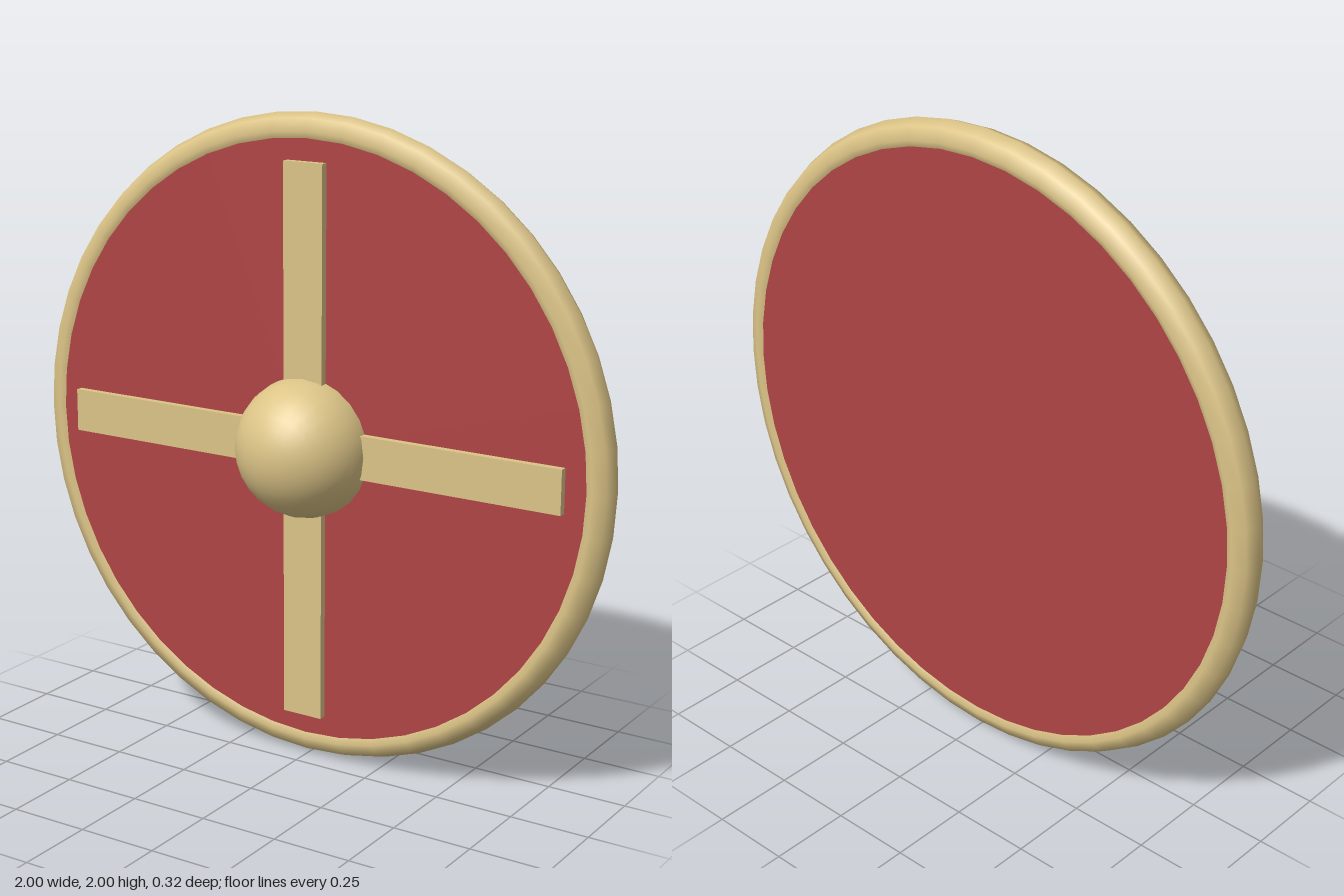
import * as THREE from 'three';

export function createModel() {
  const group = new THREE.Group();
  const red = new THREE.MeshStandardMaterial({ color: 0xb04444 });
  const brass = new THREE.MeshStandardMaterial({ color: 0xdcc487 });

  const add = (name, geometry, material, z) => {
    const mesh = new THREE.Mesh(geometry, material);
    mesh.name = name;
    mesh.position.set(0, 1, z);
    group.add(mesh);
    return mesh;
  };

  const midZ = -0.104;   // centre plane of the shield
  const faceZ = -0.058;  // front face of the board
  const tube = 0.054;

  // Round board
  const board = new THREE.CylinderGeometry(0.946, 0.946, 2 * (faceZ - midZ), 48).rotateX(Math.PI / 2);
  add('board', board, red, midZ);

  // Rounded rim
  add('rim', new THREE.TorusGeometry(1 - tube, tube, 8, 48), brass, midZ);

  // Crossed straps, four arms running out from under the boss
  const inner = 0.15, outer = 0.86, depth = 0.023;
  for (let i = 0; i < 4; i++) {
    const arm = new THREE.BoxGeometry(outer - inner, 0.135, depth)
      .translate((outer + inner) / 2, 0, 0);
    add('strap' + (i + 1), arm, brass, faceZ + depth / 2).rotation.z = i * Math.PI / 2;
  }

  // Domed boss
  const boss = new THREE.SphereGeometry(0.216, 24, 10, 0, Math.PI * 2, 0, Math.PI / 2).rotateX(Math.PI / 2);
  add('boss', boss, brass, faceZ);

  return group;
}
